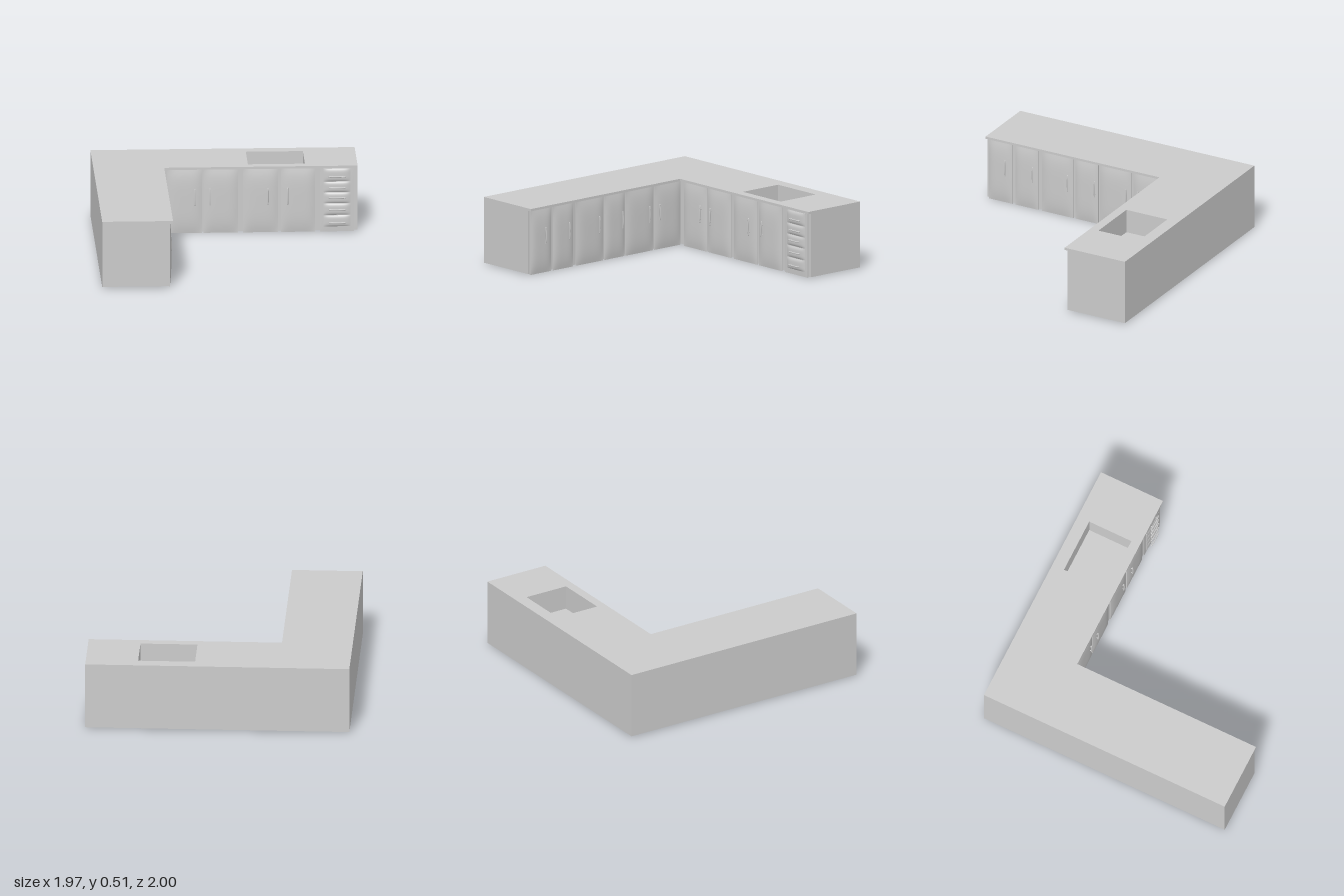
import * as THREE from 'three';

const material = new THREE.MeshStandardMaterial({ color: 0xcccccc, roughness: 0.6 });

function addMesh(parent, name, geometry, x = 0, y = 0, z = 0) {
  const mesh = new THREE.Mesh(geometry, material);
  mesh.name = name;
  mesh.position.set(x, y, z);
  parent.add(mesh);
  return mesh;
}

// L-shaped slab between two heights, optionally cut through by the sink opening
function lSlab(frontX, frontZ, y0, y1, withSink) {
  const outline = [[-0.985, -1], [frontX, -1], [frontX, -frontZ], [0.985, -frontZ], [0.985, 1], [-0.985, 1]];
  const shape = new THREE.Shape(outline.map(([x, y]) => new THREE.Vector2(x, y)));
  if (withSink) {
    const hole = [[0.17, 0.555], [0.17, 0.905], [0.595, 0.905], [0.595, 0.555]];
    shape.holes.push(new THREE.Path(hole.map(([x, y]) => new THREE.Vector2(x, y))));
  }
  const geometry = new THREE.ExtrudeGeometry(shape, { depth: y1 - y0, bevelEnabled: false });
  return geometry.rotateX(-Math.PI / 2).translate(0, y0, 0);
}

// Panel with its back on z = 0 and a softly pillowed front
function pillowPanel(width, height, edge, bulge) {
  const geometry = new THREE.BoxGeometry(width, height, edge, 16, 16, 1).translate(0, 0, edge / 2);
  const p = geometry.attributes.position;
  for (let i = 0; i < p.count; i++) {
    if (p.getZ(i) < edge / 2) continue;
    const u = (2 * p.getX(i)) / width;
    const v = (2 * p.getY(i)) / height;
    p.setZ(i, edge + bulge * (1 - u ** 4) * (1 - v ** 4));
  }
  geometry.computeVertexNormals();
  return geometry;
}

// Upright bow handle: a bent bar with two posts
function addHandle(parent, length, x, y, reach, horizontal = false) {
  const handle = new THREE.Group();
  handle.name = 'handle';
  handle.position.set(x, y, 0);
  if (horizontal) handle.rotation.z = Math.PI / 2;
  const h = length / 2;
  const curve = new THREE.CatmullRomCurve3([
    new THREE.Vector3(0, -h, reach - 0.009),
    new THREE.Vector3(0, -h * 0.6, reach - 0.006),
    new THREE.Vector3(0, 0, reach - 0.005),
    new THREE.Vector3(0, h * 0.6, reach - 0.006),
    new THREE.Vector3(0, h, reach - 0.009),
  ]);
  addMesh(handle, 'handleBar', new THREE.TubeGeometry(curve, 16, 0.005, 8));
  for (const s of [-1, 1]) {
    addMesh(handle, 'handleTip', new THREE.SphereGeometry(0.005, 8, 6), 0, s * h, reach - 0.009);
    const post = new THREE.CylinderGeometry(0.004, 0.004, reach - 0.012, 8).rotateX(Math.PI / 2);
    addMesh(handle, 'handlePost', post, 0, s * h * 0.65, (reach - 0.002) / 2);
  }
  parent.add(handle);
}

// Doors given as [start, end, handle position] along the run
function addDoors(parent, doors, reach) {
  for (const [a, b, handleX] of doors) {
    const door = new THREE.Group();
    door.name = 'door';
    addMesh(door, 'doorPanel', pillowPanel(Math.abs(b - a), 0.49, 0.008, 0.013), (a + b) / 2, 0.247, 0);
    addHandle(door, 0.122, handleX, 0.283, reach);
    parent.add(door);
  }
}

export function createModel() {
  const model = new THREE.Group();
  model.name = 'cornerKitchenUnit';

  // Carcass, sink recess and overhanging worktop
  addMesh(model, 'cabinetBase', lSlab(-0.487, -0.51, 0.01, 0.33, false));
  addMesh(model, 'cabinetWithSinkRecess', lSlab(-0.487, -0.51, 0.33, 0.495, true));
  addMesh(model, 'worktop', lSlab(-0.457, -0.485, 0.495, 0.513, true));

  // Back run, facing +z
  const backRun = new THREE.Group();
  backRun.name = 'backRun';
  backRun.position.z = -0.51;
  model.add(backRun);
  addDoors(backRun, [
    [-0.434, -0.176, -0.228],
    [-0.164, 0.094, -0.116],
    [0.132, 0.391, 0.317],
    [0.413, 0.668, 0.463],
  ], 0.038);

  // Drawer stack: a backing panel with five fronts and horizontal handles
  const drawers = new THREE.Group();
  drawers.name = 'drawerStack';
  backRun.add(drawers);
  addMesh(drawers, 'drawerFrame', pillowPanel(0.254, 0.49, 0.008, 0.004), 0.831, 0.247, 0);
  const fronts = [[0.39, 0.487, 0.428], [0.306, 0.386, 0.344], [0.221, 0.302, 0.265], [0.131, 0.217, 0.175], [0.042, 0.127, 0.074]];
  for (const [y0, y1, handleY] of fronts) {
    addMesh(drawers, 'drawerFront', pillowPanel(0.2, y1 - y0, 0.013, 0.009), 0.831, (y0 + y1) / 2, 0);
    addHandle(drawers, 0.118, 0.833, handleY, 0.042, true);
  }

  // Side run, turned to face +x (local x runs along -z)
  const sideRun = new THREE.Group();
  sideRun.name = 'sideRun';
  sideRun.position.x = -0.487;
  sideRun.rotation.y = Math.PI / 2;
  model.add(sideRun);
  addDoors(sideRun, [
    [-0.984, -0.781, -0.84],
    [-0.759, -0.561, -0.604],
    [-0.529, -0.262, -0.305],
    [-0.246, -0.05, -0.075],
    [-0.037, 0.235, 0.193],
    [0.25, 0.509, 0.294],
  ], 0.029);

  return model;
}
